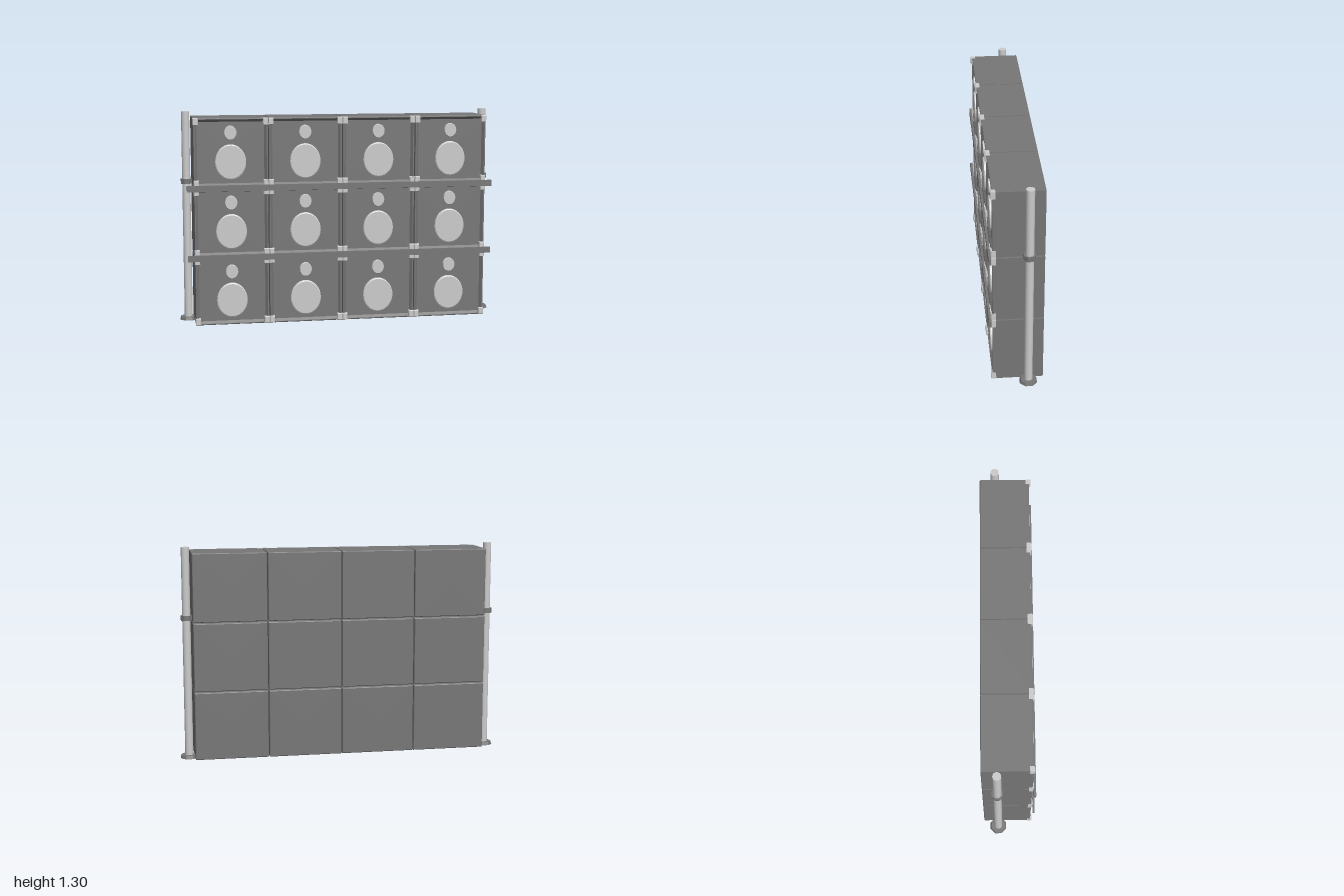
import * as THREE from 'three';

const light = new THREE.MeshStandardMaterial({ color: 0xcccccc });
const dark = new THREE.MeshStandardMaterial({ color: 0x777777 });

const COLS = 4, ROWS = 3;
const PITCH_X = 0.456, PITCH_Y = 0.425;
const W = 0.45, H = 0.417;

function add(parent, name, geometry, material, x = 0, y = 0, z = 0) {
  const mesh = new THREE.Mesh(geometry, material);
  mesh.name = name;
  mesh.position.set(x, y, z);
  parent.add(mesh);
  return mesh;
}

// Rectangular shell lofted through rings of [half width, half height, z]
function rectLoft(rings) {
  const pos = [];
  const corner = ([w, h, z], i) => {
    const [sx, sy] = [[-1, -1], [1, -1], [1, 1], [-1, 1]][i % 4];
    return [sx * w, sy * h, z];
  };
  for (let r = 0; r < rings.length - 1; r++) {
    for (let i = 0; i < 4; i++) {
      const a = corner(rings[r], i), b = corner(rings[r], i + 1);
      const c = corner(rings[r + 1], i + 1), d = corner(rings[r + 1], i);
      pos.push(...a, ...b, ...c, ...a, ...c, ...d);
    }
  }
  const g = new THREE.BufferGeometry();
  g.setAttribute('position', new THREE.Float32BufferAttribute(pos, 3));
  g.computeVertexNormals();
  return g;
}

// Cabinet body with softened back edges and a front baffle sunk behind a lip
function cabinetGeometry() {
  const ring = (inset, z) => [W / 2 - inset, H / 2 - inset, z];
  return rectLoft([
    [0, 0, -0.158], ring(0.004, -0.158), ring(0, -0.154),
    ring(0, 0.137), ring(0.003, 0.14), ring(0.008, 0.14),
    ring(0.022, 0.124), [0, 0, 0.124],
  ]);
}

// Flat round driver with a chamfered rim, facing +z
function driverGeometry(rx, ry) {
  const profile = [[1, 0], [1, 0.018], [0.94, 0.022], [0, 0.022]]
    .map(([r, y]) => new THREE.Vector2(r, y));
  const lathe = new THREE.LatheGeometry(profile, 32);
  lathe.rotateX(Math.PI / 2);
  lathe.scale(rx, ry, 1);
  const g = lathe.toNonIndexed();
  g.computeVertexNormals();
  return g;
}

// Small block guarding a front corner, with chamfered front edges
function cornerGeometry() {
  const w = 0.016, h = 0.022;
  return rectLoft([
    [0, 0, 0.119], [w, h, 0.119], [w, h, 0.143],
    [w - 0.004, h - 0.004, 0.149], [0, 0, 0.149],
  ]);
}

export function createModel() {
  const model = new THREE.Group();
  model.name = 'speakerWall';

  const body = cabinetGeometry();
  const woofer = driverGeometry(0.094, 0.107);
  const tweeter = driverGeometry(0.038, 0.043);
  const corner = cornerGeometry();

  // Grid of speaker cabinets
  for (let row = 0; row < ROWS; row++) {
    for (let col = 0; col < COLS; col++) {
      const cabinet = new THREE.Group();
      cabinet.name = 'speakerCabinet';
      cabinet.position.set(-0.686 + col * PITCH_X, 0.003 + H / 2 + row * PITCH_Y, 0);
      add(cabinet, 'cabinetBody', body, dark);
      add(cabinet, 'woofer', woofer, light, -0.002, -0.057, 0.122);
      add(cabinet, 'tweeter', tweeter, light, -0.002, 0.12, 0.122);
      for (const sx of [-1, 1]) {
        for (const sy of [-1, 1]) {
          add(cabinet, 'cornerGuard', corner, light,
            sx * (W / 2 - 0.0135), sy * (H / 2 - 0.021), 0);
        }
      }
      model.add(cabinet);
    }
  }

  // Retaining bars across the seams between rows
  for (const y of [0.421, 0.847]) {
    add(model, 'retainingBar', new THREE.BoxGeometry(1.9, 0.037, 0.014), dark, -0.005, y, 0.154);
  }

  // Upright poles with octagonal collars and feet
  const pole = new THREE.CylinderGeometry(0.025, 0.025, 1.3, 16);
  const collar = new THREE.CylinderGeometry(0.036, 0.036, 0.03, 8).toNonIndexed();
  const foot = new THREE.CylinderGeometry(0.049, 0.055, 0.02, 8).toNonIndexed();
  for (const g of [collar, foot]) {
    g.rotateY(Math.PI / 8);
    g.computeVertexNormals();
  }
  for (const x of [-0.946, 0.942]) {
    const stand = new THREE.Group();
    stand.name = 'supportPole';
    stand.position.set(x, 0, -0.067);
    add(stand, 'pole', pole, light, 0, 0.652, 0);
    add(stand, 'collar', collar, dark, 0, 0.872, 0);
    add(stand, 'foot', foot, dark, 0, 0.01, 0);
    model.add(stand);
  }

  return model;
}
